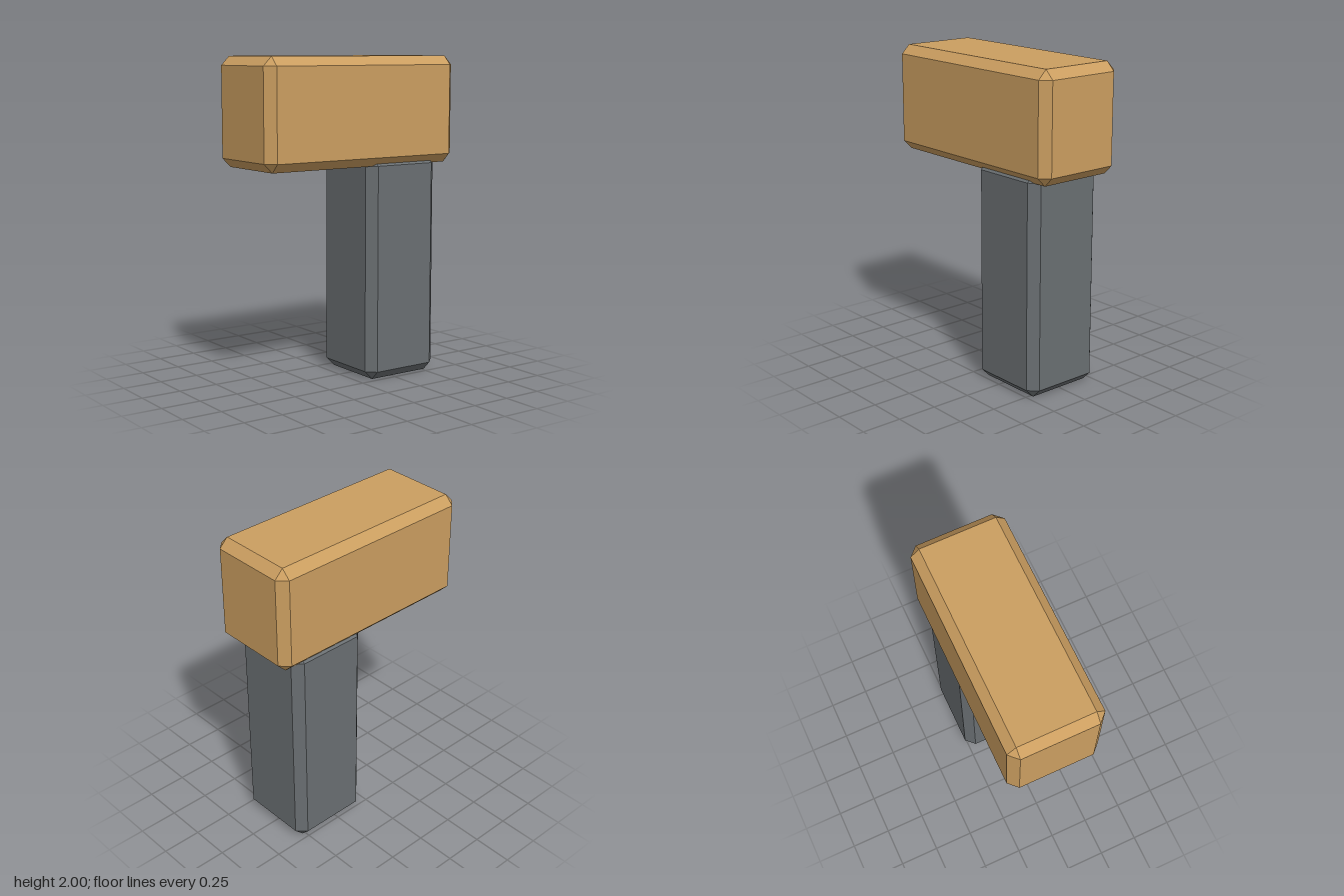
import * as THREE from 'three';
import { ConvexGeometry } from 'three/addons/geometries/ConvexGeometry.js';

// Box with flat bevelled edges and triangular corners
function chamferBox(w, h, d, c) {
  const points = [];
  for (const sx of [-1, 1]) for (const sy of [-1, 1]) for (const sz of [-1, 1]) {
    const x = w / 2, y = h / 2, z = d / 2;
    points.push(
      new THREE.Vector3(sx * x, sy * (y - c), sz * (z - c)),
      new THREE.Vector3(sx * (x - c), sy * y, sz * (z - c)),
      new THREE.Vector3(sx * (x - c), sy * (y - c), sz * z)
    );
  }
  return new ConvexGeometry(points);
}

export function createModel() {
  const wood = new THREE.MeshStandardMaterial({ color: 0xcb9e60 });
  wood.name = 'wood';
  const grey = new THREE.MeshStandardMaterial({ color: 0x6a6f72 });
  grey.name = 'slate grey';

  const model = new THREE.Group();
  model.name = 'mallet';

  // Upper block, overhanging toward the front
  const head = new THREE.Mesh(chamferBox(0.582, 0.664, 1.384, 0.055), wood);
  head.name = 'head';
  head.position.set(0, 1.668, 0);

  // Upright, its top bevel sunk into the block
  const handle = new THREE.Mesh(chamferBox(0.526, 1.392, 0.526, 0.055), grey);
  handle.name = 'handle';
  handle.position.set(0, 0.696, -0.311);

  model.add(head, handle);
  return model;
}
